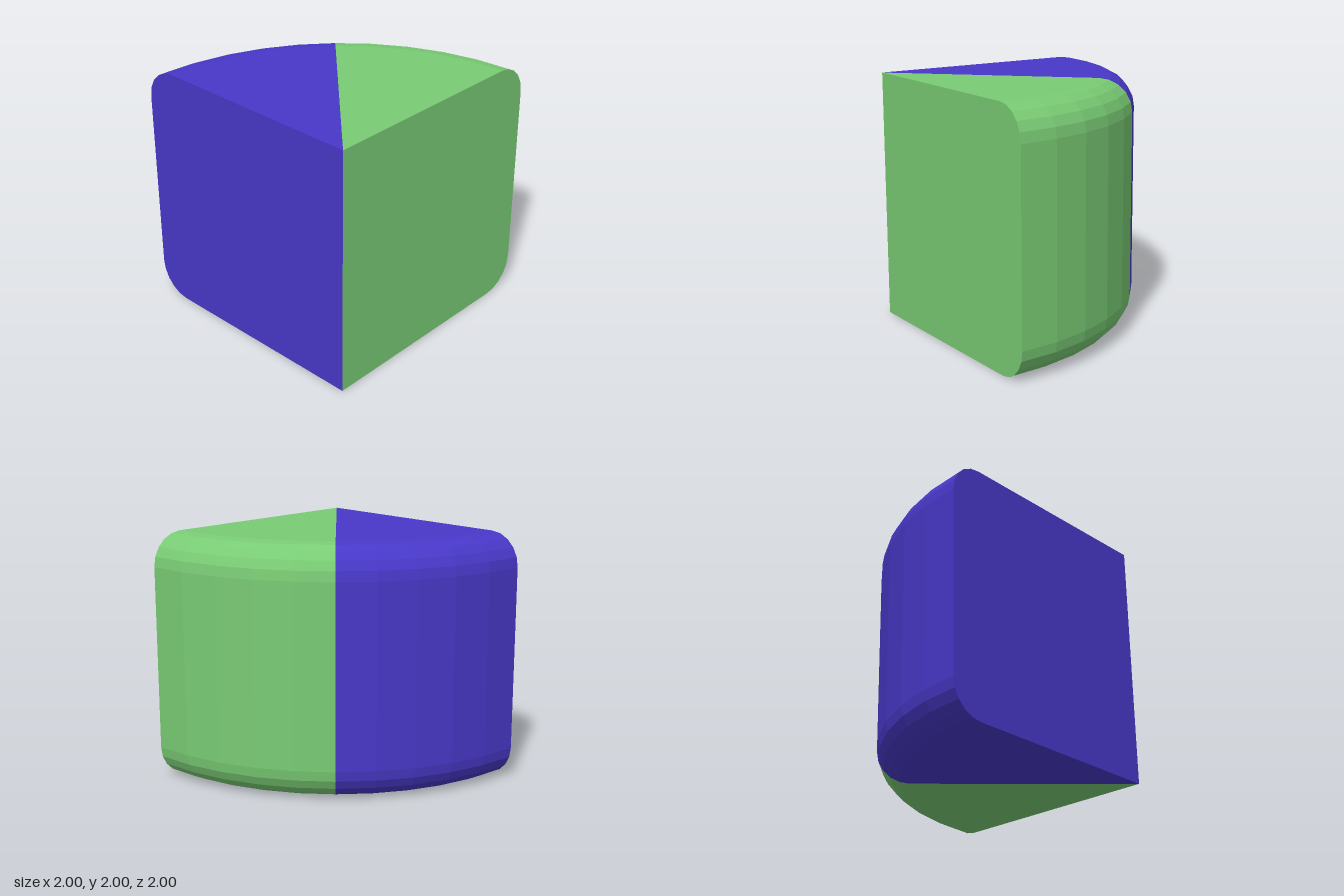
import * as THREE from 'three';

const RADIUS = 2, HEIGHT = 2, ROUND = 0.26, ROUND_STEPS = 5;

// Half cross-section from the axis: flat bottom, rounded rim, wall, rounded rim, flat top
function profilePoints() {
  const pts = [new THREE.Vector2(0, 0)];
  for (const [cy, start] of [[ROUND, -Math.PI / 2], [HEIGHT - ROUND, 0]]) {
    for (let i = 0; i <= ROUND_STEPS; i++) {
      const a = start + (i / ROUND_STEPS) * Math.PI / 2;
      pts.push(new THREE.Vector2(RADIUS - ROUND + ROUND * Math.cos(a), cy + ROUND * Math.sin(a)));
    }
  }
  pts.push(new THREE.Vector2(0, HEIGHT));
  return pts;
}

// One eighth of the rounded cylinder: curved shell plus its flat cut face
function makeWedge(name, color, phiStart, cutGeometry) {
  const material = new THREE.MeshStandardMaterial({ color, flatShading: true });
  const wedge = new THREE.Group();
  wedge.name = name;
  const shell = new THREE.Mesh(
    new THREE.LatheGeometry(profilePoints(), 5, phiStart, Math.PI / 4), material);
  shell.name = name + 'Shell';
  const cut = new THREE.Mesh(cutGeometry, material);
  cut.name = name + 'CutFace';
  wedge.add(shell, cut);
  return wedge;
}

export function createModel() {
  const model = new THREE.Group();
  model.name = 'roundedQuarterCylinder';

  // Cut faces: one in the side plane facing +x, one in the front plane facing +z
  const sideCut = new THREE.ShapeGeometry(new THREE.Shape(profilePoints())).rotateY(Math.PI / 2);
  const frontCut = new THREE.ShapeGeometry(
    new THREE.Shape(profilePoints().map(p => new THREE.Vector2(-p.x, p.y))));

  model.add(
    makeWedge('greenWedge', 0x79cb74, Math.PI, sideCut),
    makeWedge('blueWedge', 0x4838c8, Math.PI * 1.25, frontCut));

  // The axis of the quarter stands at the front corner
  for (const wedge of model.children) wedge.position.set(1, 0, 1);
  return model;
}
